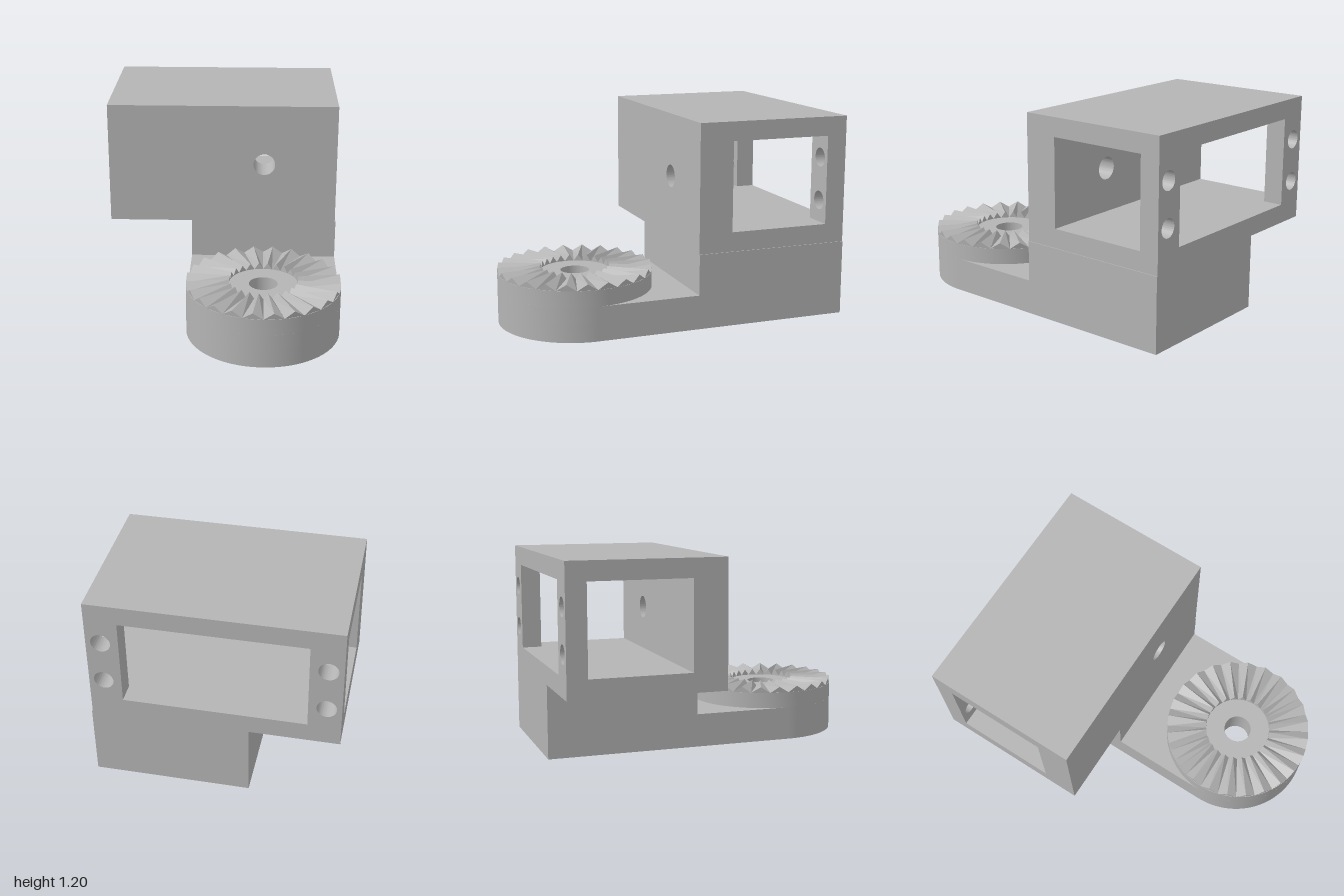
import * as THREE from 'three';
import { toCreasedNormals } from 'three/addons/utils/BufferGeometryUtils.js';

const CX = 0.255, CZ = 0.54, R = 0.457;      // pivot centre and radius
const BACK = -1, FRONT = -0.07;              // housing depth range

export function createModel() {
  const model = new THREE.Group();
  const grey = new THREE.MeshStandardMaterial({ color: 0xb4b4b4 });

  const add = (name, geometry) => {
    const mesh = new THREE.Mesh(geometry, grey);
    mesh.name = name;
    model.add(mesh);
    return mesh;
  };
  const box = (name, x0, x1, y0, y1, z0, z1) => {
    const g = new THREE.BoxGeometry(x1 - x0, y1 - y0, z1 - z0);
    add(name, g.translate((x0 + x1) / 2, (y0 + y1) / 2, (z0 + z1) / 2));
  };
  const rect = (x0, x1, y0, y1, Type = THREE.Shape) => {
    const s = new Type();
    s.moveTo(x0, y0).lineTo(x1, y0).lineTo(x1, y1).lineTo(x0, y1).closePath();
    return s;
  };
  const circle = (x, y, r, Type = THREE.Path) => {
    const s = new Type();
    s.absarc(x, y, r, 0, Math.PI * 2, false);
    return s;
  };
  const extrude = (shape, depth) => toCreasedNormals(
    new THREE.ExtrudeGeometry(shape, { depth, bevelEnabled: false, curveSegments: 48 }), 0.5);
  // plan shapes use (x, -z) and rise along y
  const slab = (name, shape, hole, y0, y1) => {
    shape.holes.push(hole);
    add(name, extrude(shape, y1 - y0).rotateX(-Math.PI / 2).translate(0, y0, 0));
  };

  // Housing: an open-ended tube with a windowed back
  const X0 = -0.717, X1 = 0.707, Y0 = 0.445, Y1 = 1.203;
  const frontWall = rect(X0, X1, Y0, Y1);
  frontWall.holes.push(circle(CX, 0.825, 0.068));
  add('housingFrontWall', extrude(frontWall, 0.205).translate(0, 0, FRONT - 0.205));

  const backWall = rect(X0, X1, Y0, Y1);
  backWall.holes.push(rect(-0.53, 0.52, 0.56, 1.09, THREE.Path));
  for (const x of [-0.632, 0.622])
    for (const y of [0.69, 0.95]) backWall.holes.push(circle(x, y, 0.056));
  add('housingBackWall', extrude(backWall, 0.12).translate(0, 0, BACK));

  box('housingFloor', X0, X1, Y0, 0.56, BACK + 0.12, FRONT - 0.205);
  box('housingRoof', X0, X1, 1.09, Y1, BACK + 0.12, FRONT - 0.205);

  // Pedestal under the housing
  box('pedestal', CX - R, CX + R, 0, Y0, BACK, FRONT);

  // Arm with a rounded end, a hexagonal nut pocket below and a bolt hole above
  const armPlan = () => {
    const s = new THREE.Shape();
    s.moveTo(CX + R, -FRONT).lineTo(CX - R, -FRONT).lineTo(CX - R, -CZ);
    s.absarc(CX, -CZ, R, Math.PI, Math.PI * 2, false);
    s.closePath();
    return s;
  };
  const hex = new THREE.Path();
  hex.setFromPoints(Array.from({ length: 6 }, (_, i) => {
    const a = Math.PI / 6 + i * Math.PI / 3;
    return new THREE.Vector2(CX + 0.14 * Math.cos(a), -CZ + 0.14 * Math.sin(a));
  }));
  hex.closePath();
  slab('armLower', armPlan(), hex, 0, 0.11);
  slab('armUpper', armPlan(), circle(CX, -CZ, 0.085), 0.11, 0.203);
  slab('pivotDisc', circle(CX, -CZ, R, THREE.Shape), circle(CX, -CZ, 0.085), 0.203, 0.3);

  // Ring of radial teeth on the pivot disc
  const TEETH = 24, LOW = 0.3, HIGH = 0.337, INNER = 0.205;
  const pos = [];
  const point = (step, r, y) => {
    const a = step * Math.PI * 2 / TEETH;
    return [CX + r * Math.sin(a), y, CZ + r * Math.cos(a)];
  };
  const tri = (...pts) => pts.forEach(p => pos.push(...p));
  for (let i = 0; i < TEETH; i++) {
    const [a, b, c] = [point(i, INNER, LOW), point(i + 0.5, INNER, HIGH), point(i + 1, INNER, LOW)];
    const [d, e, f] = [point(i, R, LOW), point(i + 0.5, R, HIGH), point(i + 1, R, LOW)];
    tri(a, d, e); tri(a, e, b);      // rising flank
    tri(b, e, f); tri(b, f, c);      // falling flank
    tri(d, f, e); tri(a, b, c);      // outer and inner ends
  }
  const teeth = new THREE.BufferGeometry();
  teeth.setAttribute('position', new THREE.Float32BufferAttribute(pos, 3));
  teeth.computeVertexNormals();
  add('pivotTeeth', teeth);

  return model;
}
